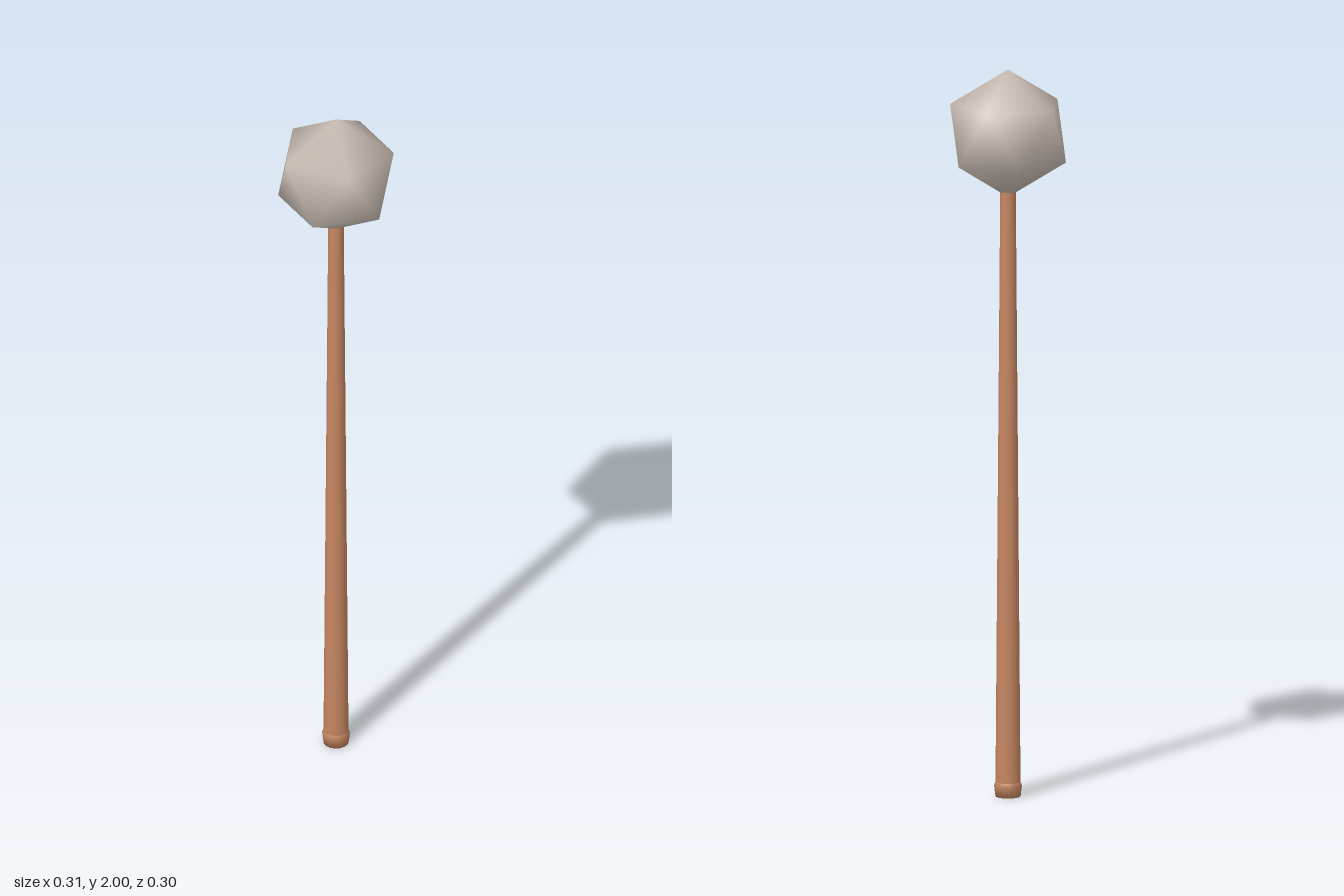
import * as THREE from 'three';

// Twenty-sided ball standing on a vertex, with smooth shared normals
function ballGeometry(radius) {
  const ringRadius = radius * 2 / Math.sqrt(5);
  const ringY = radius / Math.sqrt(5);
  const points = [0, radius, 0, 0, -radius, 0];
  for (let i = 0; i < 5; i++) {
    const a = i * Math.PI * 2 / 5, b = a + Math.PI / 5;
    points.push(ringRadius * Math.cos(a), ringY, ringRadius * Math.sin(a));
    points.push(ringRadius * Math.cos(b), -ringY, ringRadius * Math.sin(b));
  }
  const faces = [];
  for (let i = 0; i < 5; i++) {
    const j = (i + 1) % 5;
    const u = 2 + 2 * i, uNext = 2 + 2 * j, l = u + 1, lNext = uNext + 1;
    faces.push(0, uNext, u, u, uNext, l, l, uNext, lNext, 1, l, lNext);
  }
  const geometry = new THREE.BufferGeometry();
  geometry.setAttribute('position', new THREE.Float32BufferAttribute(points, 3));
  geometry.setIndex(faces);
  geometry.computeVertexNormals();
  return geometry;
}

export function createModel() {
  const group = new THREE.Group();
  const wood = new THREE.MeshStandardMaterial({ color: 0xc68661 });
  const felt = new THREE.MeshStandardMaterial({ color: 0xc8bcb2 });

  function add(name, geometry, material, y) {
    const mesh = new THREE.Mesh(geometry, material);
    mesh.name = name;
    mesh.position.y = y;
    group.add(mesh);
  }

  // Head
  add('head', ballGeometry(0.1755), felt, 2 - 0.1755);

  // Tapered shaft, running slightly into the head
  const bottom = 0.035, top = 1.68;
  add('shaft', new THREE.CylinderGeometry(0.021, 0.034, top - bottom, 16), wood, (top + bottom) / 2);

  // Butt with a slight bulge, softly shaded round its lower edge
  const profile = [[0, 0], [0.034, 0], [0.038, 0.03], [0.034, 0.04]]
    .map(([r, y]) => new THREE.Vector2(r, y));
  add('butt', new THREE.LatheGeometry(profile, 16), wood, 0);

  return group;
}
